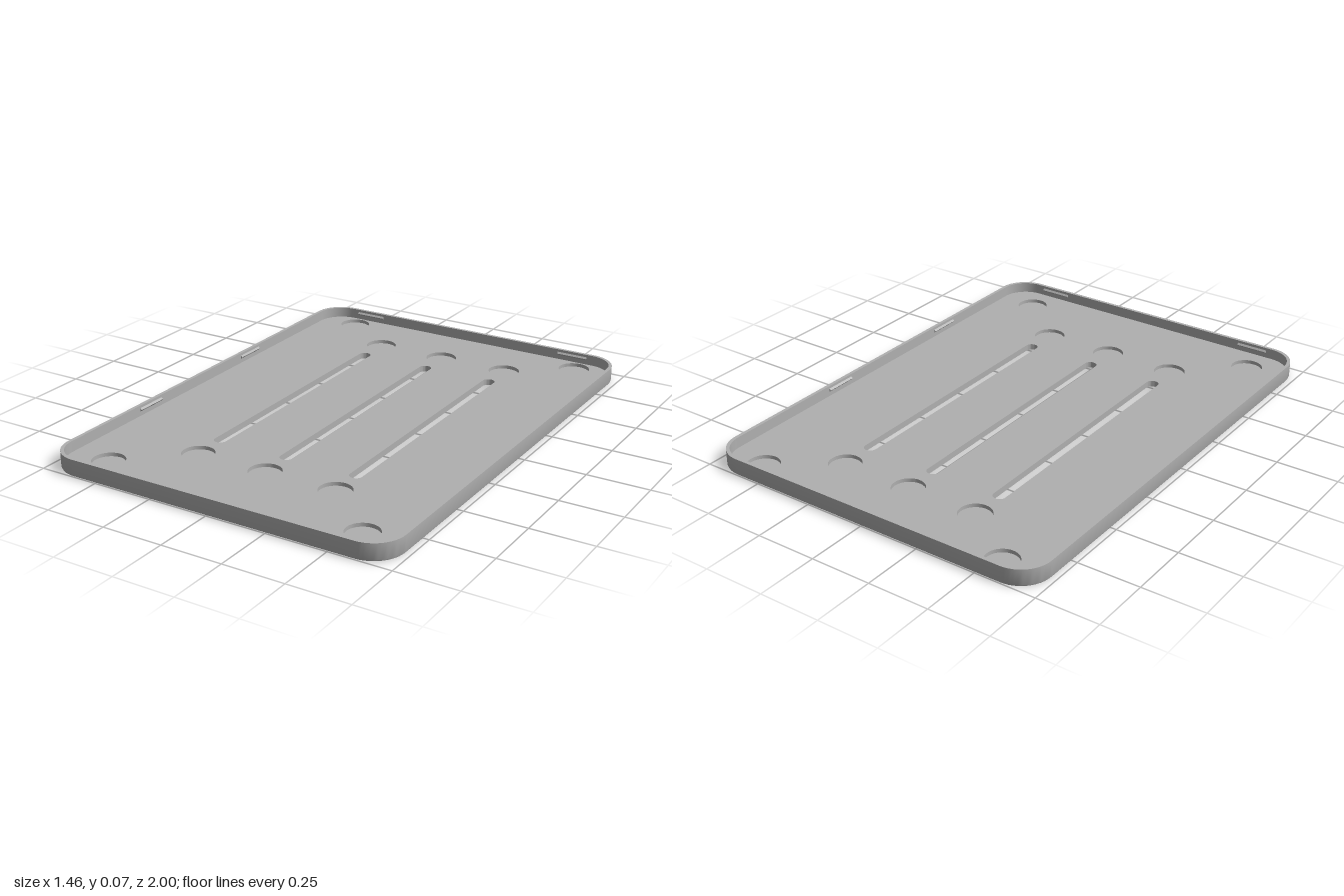
import * as THREE from 'three';
import { toCreasedNormals } from 'three/addons/utils/BufferGeometryUtils.js';

const HALF_W = 0.73, HALF_L = 1, HEIGHT = 0.07, CORNER = 0.125;
const WALL = 0.014, FLOOR = 0.026, POCKET_Y = 0.011, BEVEL = 0.009;

// Counter-clockwise rounded rectangle seen from above, as (x, -z) points.
function ring(hw, hl, r, cx = 0, cz = 0, steps = 12) {
  const pts = [];
  [[1, 1], [-1, 1], [-1, -1], [1, -1]].forEach(([sx, sy], q) => {
    for (let i = 0; i <= steps; i++) {
      const a = (q + i / steps) * Math.PI / 2;
      const p = new THREE.Vector2(
        cx + sx * (hw - r) + r * Math.cos(a), -cz + sy * (hl - r) + r * Math.sin(a));
      if (!pts.length || p.distanceTo(pts[pts.length - 1]) > 1e-5) pts.push(p);
    }
  });
  if (pts[0].distanceTo(pts[pts.length - 1]) < 1e-5) pts.pop();
  return pts;
}

// Skin through a series of { pts, y } rings.
function skin(levels) {
  const pos = [];
  for (let k = 0; k < levels.length - 1; k++) {
    const lo = levels[k], hi = levels[k + 1], n = lo.pts.length;
    for (let i = 0; i < n; i++) {
      const j = (i + 1) % n;
      const put = (l, m) => pos.push(l.pts[m].x, l.y, -l.pts[m].y);
      put(lo, i); put(lo, j); put(hi, j);
      put(lo, i); put(hi, j); put(hi, i);
    }
  }
  const g = new THREE.BufferGeometry();
  g.setAttribute('position', new THREE.Float32BufferAttribute(pos, 3));
  return toCreasedNormals(g, 0.6);
}

// Flat horizontal sheet with openings, facing up or down.
function sheet(outline, holes, y, down = false) {
  const shape = new THREE.Shape(outline);
  shape.holes = holes.map((h) => new THREE.Path(h));
  const g = new THREE.ShapeGeometry(shape).rotateX(-Math.PI / 2).translate(0, y, 0);
  if (down) {
    g.index.array.reverse();
    g.computeVertexNormals();
  }
  return g;
}

export function createModel() {
  const grey = new THREE.MeshStandardMaterial({ color: 0xb0b0b0 });
  grey.name = 'grey plastic';
  const model = new THREE.Group();
  model.name = 'tray';
  const add = (name, geometry) => {
    const mesh = new THREE.Mesh(geometry, grey);
    mesh.name = name;
    model.add(mesh);
    return mesh;
  };
  const inset = (d) => ring(HALF_W - d, HALF_L - d, CORNER - d);

  // Openings in the floor
  const columns = [-0.305, 0, 0.305];
  const slots = columns.map((x) => ring(0.026, 0.565, 0.026, x, -0.046, 8));
  const centres = [];
  for (const x of columns) centres.push([x, -0.732], [x, 0.634]);
  for (const x of [-0.553, 0.553]) centres.push([x, -0.912], [x, 0.858]);
  const pockets = centres.map(([x, z]) => ring(0.065, 0.065, 0.065, x, z, 10));

  // Rim wall: rounded lower edge, outside, top lip, inside
  add('rimWall', skin([
    { pts: inset(BEVEL), y: 0 },
    { pts: inset(BEVEL * 0.3), y: BEVEL * 0.3 },
    { pts: inset(0), y: BEVEL },
    { pts: inset(0), y: HEIGHT },
    { pts: inset(WALL), y: HEIGHT },
    { pts: inset(WALL), y: FLOOR },
  ]));

  // Floor
  add('underside', sheet(inset(BEVEL), slots, 0, true));
  add('floor', sheet(inset(WALL), [...slots, ...pockets], FLOOR));
  slots.forEach((pts) => add('slotWall', skin([{ pts, y: FLOOR }, { pts, y: 0 }])));
  pockets.forEach((pts) => {
    add('pocketWall', skin([{ pts, y: FLOOR }, { pts, y: POCKET_Y }]));
    add('pocketBase', sheet(pts, [], POCKET_Y));
  });

  // Snap ridges along the inside of the walls
  const length = 0.135;
  const wedge = new THREE.Shape([
    new THREE.Vector2(-0.002, -0.009), new THREE.Vector2(0.007, 0), new THREE.Vector2(-0.002, 0.009)]);
  const ridge = new THREE.ExtrudeGeometry(wedge, { depth: length, bevelEnabled: false })
    .rotateY(-Math.PI / 2).translate(length / 2, 0, 0);
  const addRidge = (x, z, turn) => {
    const mesh = add('snapRidge', ridge);
    mesh.position.set(x, 0.052, z);
    mesh.rotation.y = turn;
  };
  for (const s of [-1, 1]) {
    addRidge(s * 0.51, -HALF_L + WALL, 0);
    addRidge(s * 0.51, HALF_L - WALL, Math.PI);
    for (const z of [-0.29, 0.4]) addRidge(s * (HALF_W - WALL), z, -s * Math.PI / 2);
  }
  return model;
}
